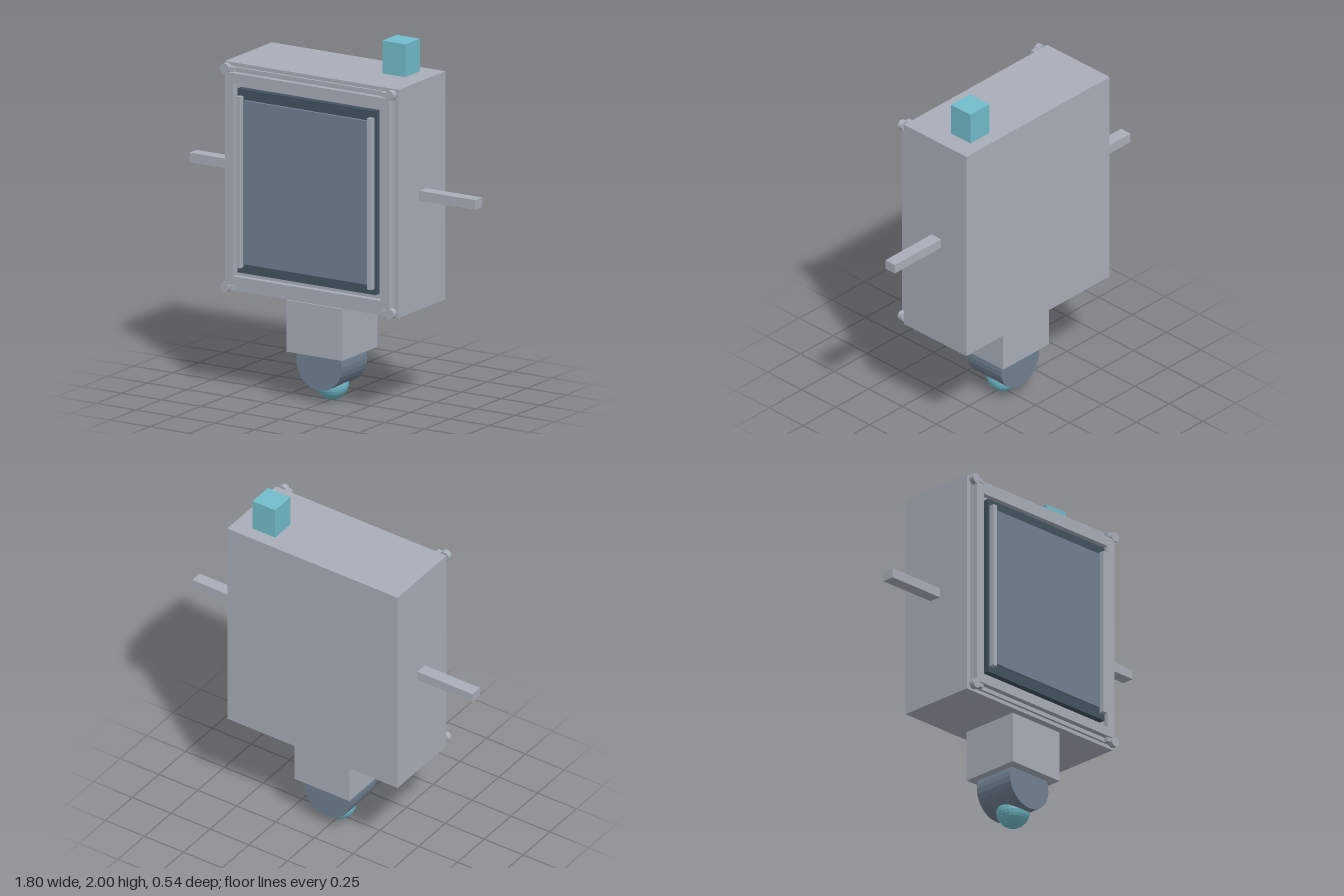
import * as THREE from 'three';

const mat = (name, color) => {
  const m = new THREE.MeshStandardMaterial({ color });
  m.name = name;
  m.flatShading = true;
  return m;
};

export function createModel() {
  const model = new THREE.Group();
  model.name = 'cabinet';
  const grey = mat('casing grey', 0xa8aeb9);
  const slate = mat('slate', 0x708090);
  const dark = mat('dark bezel', 0x42525f);
  const teal = mat('teal', 0x72bccb);

  const add = (name, geometry, material) => {
    const mesh = new THREE.Mesh(geometry, material);
    mesh.name = name;
    model.add(mesh);
    return mesh;
  };
  // Box given by its limits on each axis
  const box = (name, material, [x0, x1], [y0, y1], [z0, z1]) => {
    const mesh = add(name, new THREE.BoxGeometry(x1 - x0, y1 - y0, z1 - z0), material);
    mesh.position.set((x0 + x1) / 2, (y0 + y1) / 2, (z0 + z1) / 2);
    return mesh;
  };

  // Main casing and the block under it
  box('body', grey, [-0.548, 0.548], [0.567, 1.82], [-0.268, 0.19]);
  box('neck', grey, [-0.177, 0.175], [0.272, 0.556], [-0.18, 0.165]);

  // Thin seal plate behind the door
  box('sealPlate', grey, [-0.52, 0.52], [0.587, 1.8], [0.188, 0.205]);

  // Door frame with a rectangular opening
  const rect = (Shape, w, y0, y1) => new Shape([
    new THREE.Vector2(-w, y0), new THREE.Vector2(w, y0),
    new THREE.Vector2(w, y1), new THREE.Vector2(-w, y1),
  ]);
  const frame = rect(THREE.Shape, 0.517, 0.61, 1.775);
  frame.holes.push(rect(THREE.Path, 0.465, 0.66, 1.72));
  add('doorFrame', new THREE.ExtrudeGeometry(frame, { depth: 0.033, bevelEnabled: false }), grey)
    .position.z = 0.203;

  // Screen, bezel and side rails
  box('bezel', dark, [-0.437, 0.437], [0.687, 1.697], [0.2, 0.24]);
  box('screen', slate, [-0.385, 0.385], [0.742, 1.64], [0.235, 0.257]);

  for (const s of [-1, 1]) {
    const span = (a, b) => (s > 0 ? [a, b] : [-b, -a]);
    box('rail', grey, span(0.4, 0.428), [0.72, 1.66], [0.235, 0.27]);
    box('arm', grey, span(0.54, 0.902), [1.167, 1.22], [-0.082, -0.012]);

    // Corner bolts with their small tabs
    for (const y of [0.594, 1.792]) {
      const bolt = add('cornerBolt', new THREE.CylinderGeometry(0.028, 0.028, 0.03, 16), grey);
      bolt.rotation.x = Math.PI / 2;
      bolt.position.set(s * 0.521, y, 0.223);
      box('boltTab', grey, span(0.468, 0.52), [y - 0.012, y + 0.012], [0.2, 0.234]);
    }
  }

  // Block on the roof
  box('topBlock', teal, [0.292, 0.437], [1.818, 2], [-0.192, -0.048]);

  // Barrel and ball at the foot
  const barrel = add('footBarrel', new THREE.CylinderGeometry(0.144, 0.144, 0.248, 32), slate);
  barrel.rotation.x = Math.PI / 2;
  barrel.position.set(-0.002, 0.216, -0.01);
  add('footBall', new THREE.SphereGeometry(0.09, 24, 16), teal).position.set(0, 0.09, -0.01);

  return model;
}
